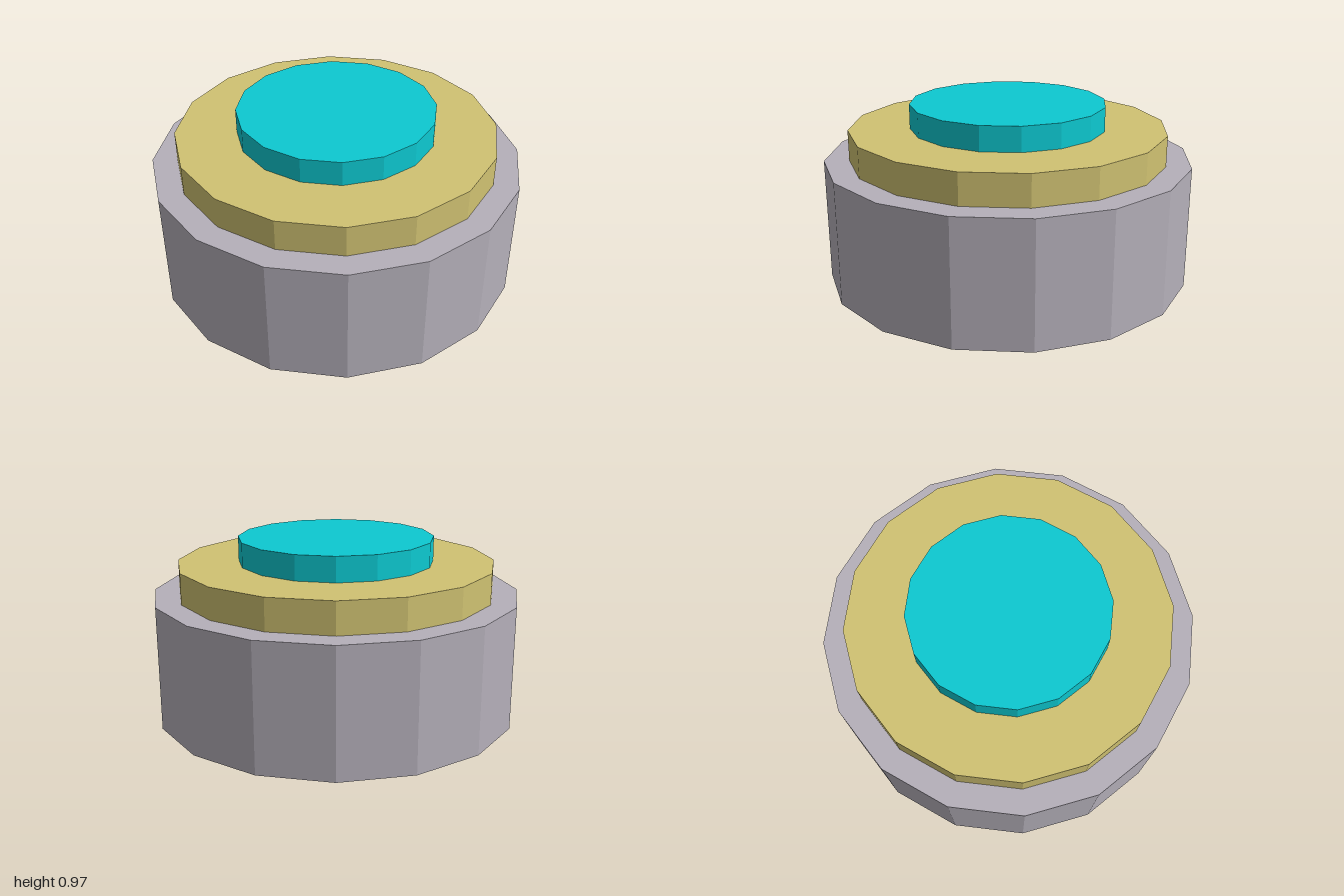
import * as THREE from 'three';

// Sixteen-sided disc with flat facets, standing on y = bottom
function disc(name, radius, bottom, top, material) {
  const geometry = new THREE.CylinderGeometry(radius, radius, top - bottom, 16).toNonIndexed();
  geometry.computeVertexNormals();
  const mesh = new THREE.Mesh(geometry, material);
  mesh.name = name;
  mesh.position.y = (bottom + top) / 2;
  return mesh;
}

function paint(name, color) {
  const material = new THREE.MeshStandardMaterial({ color });
  material.name = name;
  return material;
}

export function createModel() {
  const model = new THREE.Group();
  model.name = 'steppedButton';
  model.add(
    disc('base', 1, 0, 0.67, paint('grey', 0xb5b0ba)),
    disc('collar', 0.865, 0.67, 0.837, paint('mustard', 0xd0c272)),
    disc('button', 0.533, 0.837, 0.97, paint('turquoise', 0x0dc9d1)),
  );
  return model;
}
